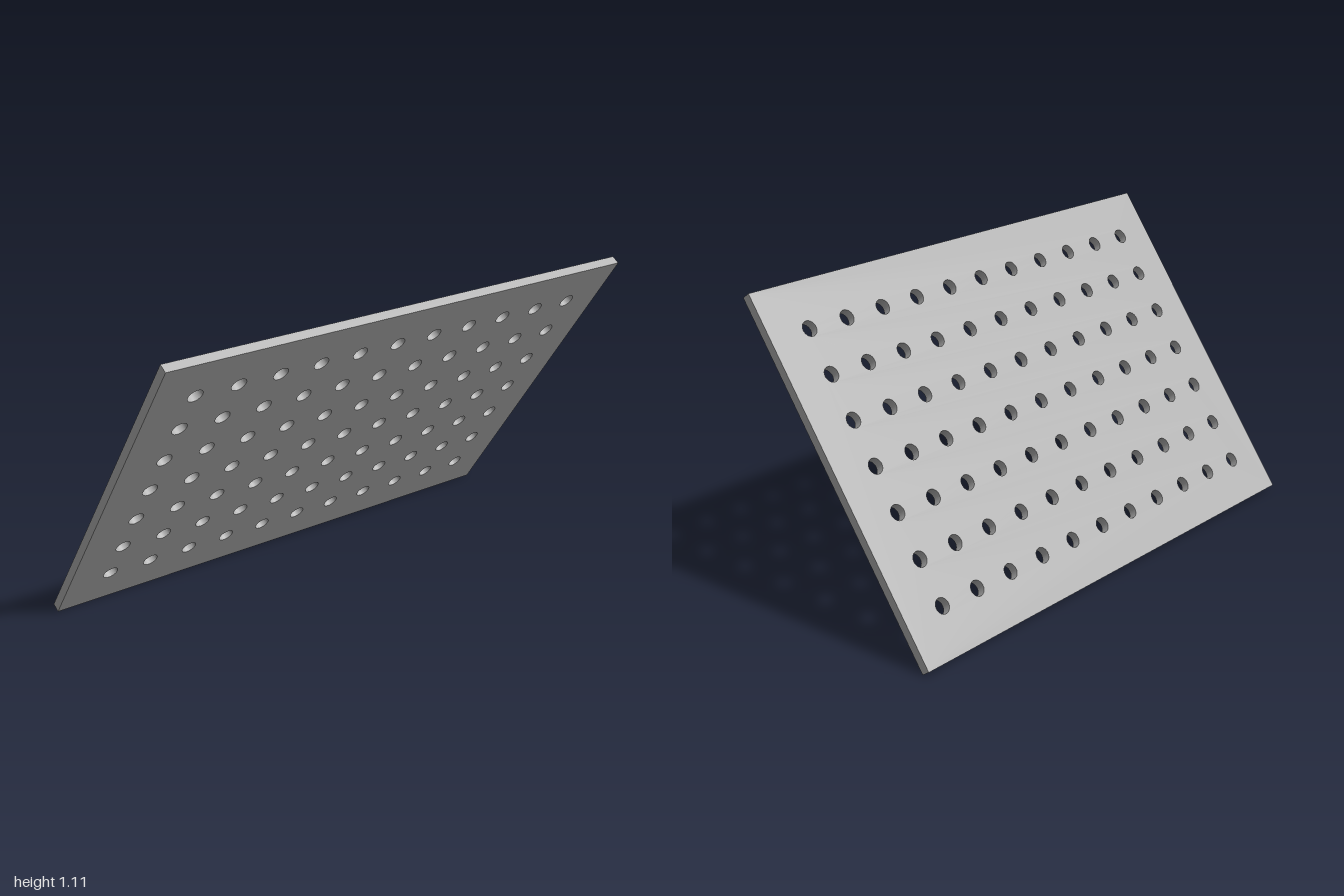
import * as THREE from 'three';

const WIDTH = 2, HEIGHT = 4 / 3, THICKNESS = 1 / 30;
const PITCH = 1 / 6, HOLE_RADIUS = 0.028;
const TILT = THREE.MathUtils.degToRad(35);

export function createModel() {
  const group = new THREE.Group();
  group.name = 'perforatedPanel';
  const grey = new THREE.MeshStandardMaterial({ color: 0xb3b3b3 });
  grey.name = 'plain grey';

  // rectangular outline
  const outline = new THREE.Shape();
  outline.moveTo(-WIDTH / 2, -HEIGHT / 2);
  outline.lineTo(WIDTH / 2, -HEIGHT / 2);
  outline.lineTo(WIDTH / 2, HEIGHT / 2);
  outline.lineTo(-WIDTH / 2, HEIGHT / 2);
  outline.closePath();

  // 11 x 7 grid of round through-holes
  for (let col = -5; col <= 5; col++) {
    for (let row = -3; row <= 3; row++) {
      const hole = new THREE.Path();
      hole.absarc(col * PITCH, row * PITCH, HOLE_RADIUS, 0, Math.PI * 2, true);
      outline.holes.push(hole);
    }
  }

  const geometry = new THREE.ExtrudeGeometry(outline, {
    depth: THICKNESS, bevelEnabled: false, curveSegments: 24,
  });
  geometry.translate(0, 0, -THICKNESS / 2);

  // lean the top edge forward and rest the lower edge on the ground
  const panel = new THREE.Mesh(geometry, grey);
  panel.name = 'panel';
  panel.rotation.x = TILT;
  panel.position.y = (HEIGHT * Math.cos(TILT) + THICKNESS * Math.sin(TILT)) / 2;
  group.add(panel);
  return group;
}
